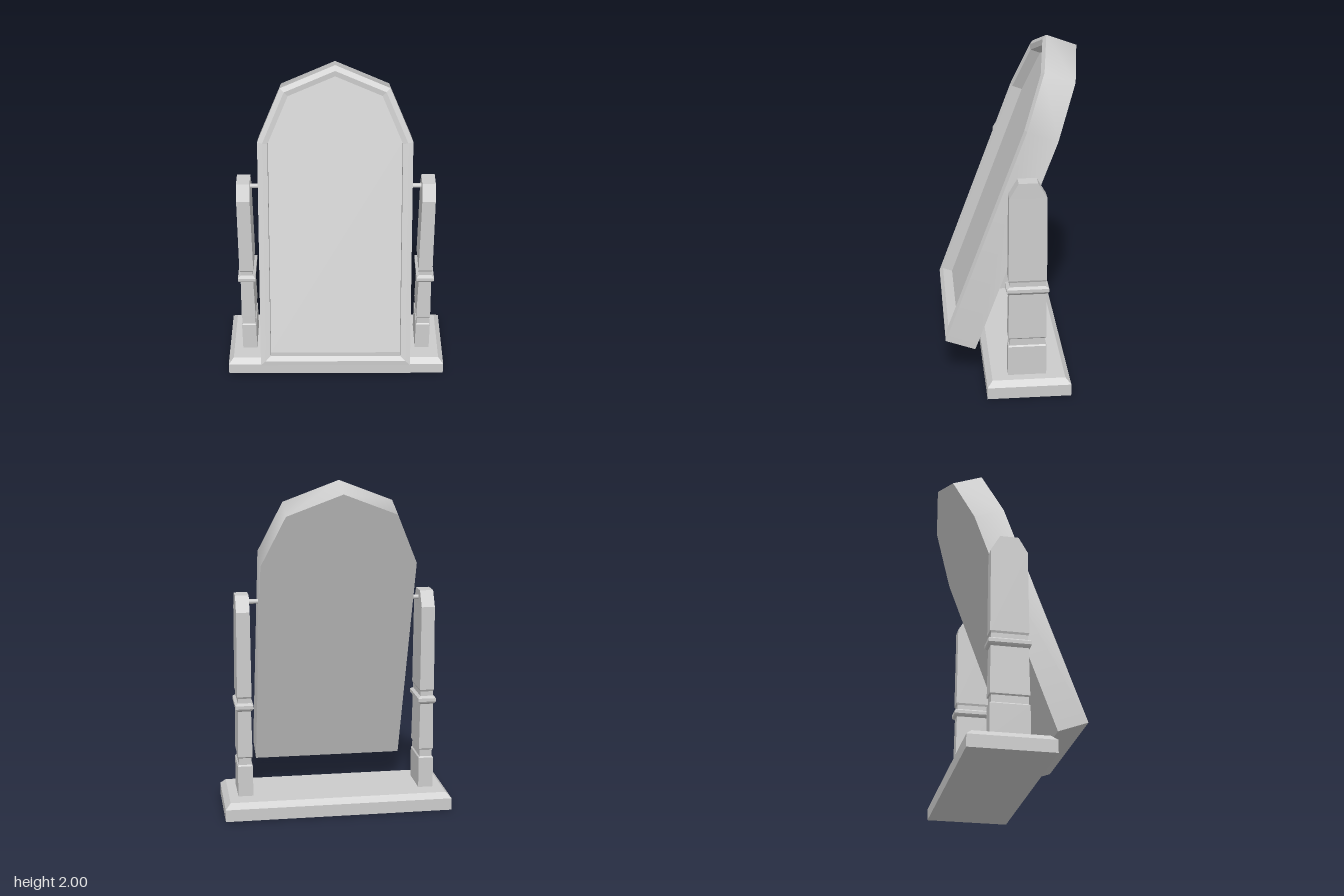
import * as THREE from 'three';
import { mergeGeometries, toCreasedNormals } from 'three/addons/utils/BufferGeometryUtils.js';

const material = new THREE.MeshStandardMaterial({ color: 0xcccccc });

function geometryFrom(triangles) {
  const geometry = new THREE.BufferGeometry();
  geometry.setAttribute('position', new THREE.Float32BufferAttribute(triangles.flatMap(p => p.toArray()), 3));
  return geometry;
}

// Strip of quads joining two counter-clockwise loops
function band(a, b, crease = 0.1) {
  const tris = [];
  a.forEach((p, i) => {
    const j = (i + 1) % a.length;
    tris.push(p, a[j], b[j], p, b[j], b[i]);
  });
  return toCreasedNormals(geometryFrom(tris), crease);
}

// Flat lid over a convex loop
function cap(loop, flip) {
  const tris = [];
  for (let i = 1; i < loop.length - 1; i++) {
    tris.push(loop[0], loop[flip ? i + 1 : i], loop[flip ? i : i + 1]);
  }
  const geometry = geometryFrom(tris);
  geometry.computeVertexNormals();
  return geometry;
}

function mesh(name, geometry) {
  const m = new THREE.Mesh(geometry, material);
  m.name = name;
  return m;
}

// Stacked rectangles given as [height, half width, half depth], rising along y
function rectangleStack(sections) {
  const loops = sections.map(([h, w, d]) => [[-1, -1], [1, -1], [1, 1], [-1, 1]]
    .map(([x, y]) => new THREE.Vector3(x * w, y * d, h)));
  const parts = [cap(loops[0], true), cap(loops[loops.length - 1], false)];
  for (let i = 0; i < loops.length - 1; i++) parts.push(band(loops[i], loops[i + 1]));
  return mergeGeometries(parts).rotateX(-Math.PI / 2);
}

// Outline of the arched frame, moved inwards and set at depth z
const outline = [[-0.457, 0], [0.457, 0], [0.457, 1.39], [0.32, 1.707], [0, 1.84], [-0.32, 1.707], [-0.457, 1.39]]
  .map(([x, y]) => new THREE.Vector2(x, y));
function frameLoop(inset, z) {
  const n = outline.length;
  const inward = i => {
    const e = outline[(i + 1) % n].clone().sub(outline[i]).normalize();
    return new THREE.Vector2(-e.y, e.x);
  };
  return outline.map((p, i) => {
    const n1 = inward((i + n - 1) % n), n2 = inward(i);
    const q = n1.clone().add(n2).multiplyScalar(inset / (1 + n1.dot(n2))).add(p);
    return new THREE.Vector3(q.x, q.y, z);
  });
}

export function createModel() {
  const model = new THREE.Group();
  model.name = 'dressingTableMirror';

  // Base slab with a sloping top edge
  const base = mesh('base', rectangleStack([[0, 0.684, 0.247], [0.073, 0.684, 0.247], [0.105, 0.652, 0.215]]));
  base.position.z = -0.0725;
  model.add(base);

  // Turned-style square posts
  const postSections = [
    [0.1, 0.045, 0.113], [0.292, 0.045, 0.113], [0.3, 0.038, 0.105],
    [0.342, 0.038, 0.105], [0.35, 0.044, 0.112], [0.36, 0.044, 0.112],
    [0.632, 0.039, 0.107], [0.642, 0.048, 0.118], [0.65, 0.054, 0.123], [0.67, 0.054, 0.123],
    [0.682, 0.038, 0.104], [0.71, 0.038, 0.104], [0.722, 0.043, 0.111],
    [1.23, 0.04, 0.107], [1.322, 0.04, 0.054],
  ];
  const postGeometry = rectangleStack(postSections);
  const pivotGeometry = new THREE.CylinderGeometry(0.014, 0.014, 0.11, 16).rotateZ(Math.PI / 2);
  for (const side of [1, -1]) {
    const label = side > 0 ? 'left' : 'right';
    const post = mesh(label + 'Post', postGeometry);
    post.position.set(side * 0.552, 0, -0.067);
    const pivot = mesh(label + 'Pivot', pivotGeometry);
    pivot.position.set(side * 0.485, 1.275, -0.07);
    model.add(post, pivot);
  }

  // Tilted frame: back, outer wall, raised rim and recess wall
  const back = frameLoop(0, -0.187), front = frameLoop(0, 0);
  const crest = frameLoop(0.03, 0.012), lip = frameLoop(0.06, 0), recess = frameLoop(0.06, -0.062);
  const tilted = new THREE.Group();
  tilted.name = 'tiltingMirror';
  tilted.add(
    mesh('frame', mergeGeometries([
      cap(back, true), band(back, front, 0.85), band(front, crest), band(crest, lip), band(lip, recess),
    ])),
    mesh('mirrorGlass', cap(recess, false)),
  );
  tilted.position.set(-0.004, 0.27, 0.405);
  tilted.rotation.x = -0.351;
  model.add(tilted);

  return model;
}
